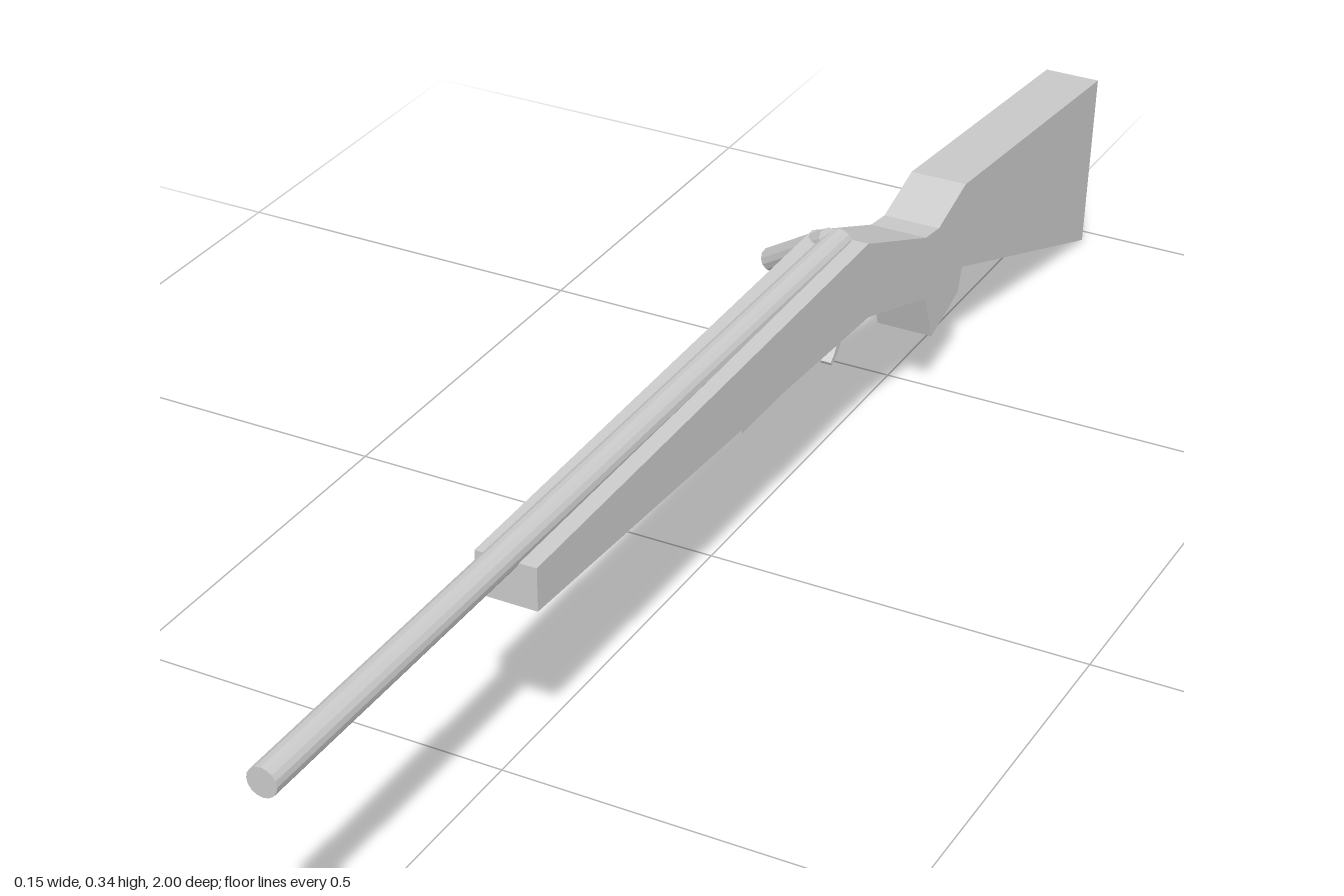
import * as THREE from 'three';

const material = new THREE.MeshStandardMaterial({ color: 0xcccccc, flatShading: true });
const CX = 0.039; // centre plane of the rifle

function addMesh(group, name, geometry) {
  const mesh = new THREE.Mesh(geometry, material);
  mesh.name = name;
  group.add(mesh);
  return mesh;
}

// Side profile in (z, y), extruded across x and centred on the rifle's plane
function sideExtrude(shape, width, curveSegments = 6) {
  const geometry = new THREE.ExtrudeGeometry(shape, { depth: width, bevelEnabled: false, curveSegments });
  geometry.rotateY(-Math.PI / 2);
  geometry.translate(CX + width / 2, 0, 0);
  return geometry;
}

// Cylinder running between two points
function rod(from, to, radius, sides) {
  const axis = to.clone().sub(from);
  const geometry = new THREE.CylinderGeometry(radius, radius, axis.length(), sides);
  const turn = new THREE.Quaternion().setFromUnitVectors(new THREE.Vector3(0, 1, 0), axis.clone().normalize());
  geometry.applyQuaternion(turn);
  const mid = from.clone().add(to).multiplyScalar(0.5);
  geometry.translate(mid.x, mid.y, mid.z);
  return geometry;
}

export function createModel() {
  const model = new THREE.Group();
  model.name = 'rifle';

  // Stock with fore-end, wrist, pistol grip and butt
  const profile = [
    [0.54, 0.315], [-0.265, 0.326], [-0.435, 0.255], [-0.475, 0.25], [-0.555, 0.277],
    [-1, 0.238], [-0.975, 0], [-0.553, 0.157], [-0.543, 0.125], [-0.463, 0.098],
    [-0.44, 0.165], [-0.27, 0.221], [0.54, 0.26],
  ].map(([z, y]) => new THREE.Vector2(z, y));
  addMesh(model, 'stock', sideExtrude(new THREE.Shape(profile), 0.077));

  // Barrel lying half sunk in the top of the stock
  addMesh(model, 'barrel', rod(
    new THREE.Vector3(CX, 0.321, -0.262), new THREE.Vector3(CX, 0.321, 1), 0.018, 16));

  // Bolt handle sloping down to the right and back
  addMesh(model, 'boltHandle', rod(
    new THREE.Vector3(0.034, 0.33, -0.245), new THREE.Vector3(-0.067, 0.258, -0.287), 0.0155, 12));

  // Magazine floor plate under the fore-end
  const plate = new THREE.BoxGeometry(0.061, 0.018, 0.322);
  plate.translate(CX, 0.231, -0.106);
  addMesh(model, 'magazinePlate', plate);

  // Curved trigger
  const trigger = new THREE.Shape();
  trigger.moveTo(-0.272, 0.228);
  trigger.quadraticCurveTo(-0.264, 0.176, -0.232, 0.163);
  trigger.lineTo(-0.229, 0.168);
  trigger.quadraticCurveTo(-0.254, 0.184, -0.258, 0.228);
  addMesh(model, 'trigger', sideExtrude(trigger, 0.015));

  return model;
}
